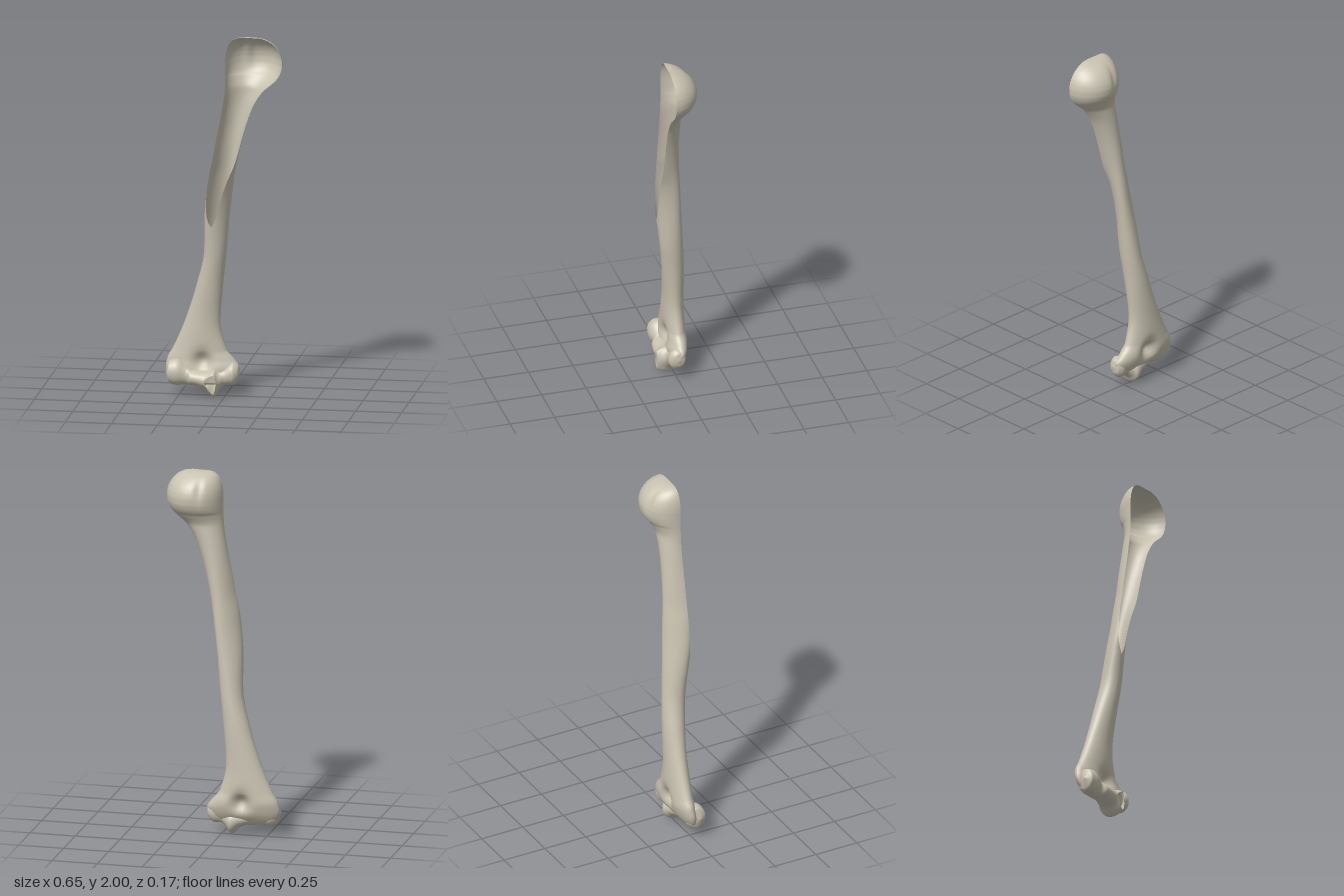
import * as THREE from 'three';
import { mergeVertices } from 'three/addons/utils/BufferGeometryUtils.js';

const CUT = 0.088; // the bone is sliced open along this z plane

// Smooth monotone interpolation between rows [t, ...values]
function refine(rows, steps) {
  const secant = (i, k) => (rows[i + 1][k] - rows[i][k]) / (rows[i + 1][0] - rows[i][0]);
  const slope = (i, k) => {
    if (i === 0) return secant(0, k);
    if (i === rows.length - 1) return secant(i - 1, k);
    const a = secant(i - 1, k), b = secant(i, k);
    return a * b <= 0 ? 0 : (2 * a * b) / (a + b);
  };
  const out = [];
  for (let i = 0; i < rows.length - 1; i++) {
    const h = rows[i + 1][0] - rows[i][0];
    for (let s = 0; s < steps; s++) {
      const f = s / steps, f2 = f * f, f3 = f2 * f;
      out.push(rows[i].map((v, k) => k === 0 ? v + h * f :
        (2 * f3 - 3 * f2 + 1) * v + (f3 - 2 * f2 + f) * h * slope(i, k) +
        (3 * f2 - 2 * f3) * rows[i + 1][k] + (f3 - f2) * h * slope(i + 1, k)));
    }
  }
  out.push(rows[rows.length - 1]);
  return out;
}

// Loft of skewed ellipses; each ring stops at the cut plane.
// Row: [t, uMin, uMax, zBack, zFront]
function loft(rows, skew, place) {
  const sides = 64, n = sides + 1, pos = [], index = [];
  const rings = refine(rows, 7);
  rings.forEach(([t, u0, u1, z0, z1], i) => {
    const cu = (u0 + u1) / 2, ru = (u1 - u0) / 2, cz = (z0 + z1) / 2, rz = (z1 - z0) / 2;
    const phi = Math.asin(skew(t));
    const lim = Math.asin(THREE.MathUtils.clamp((CUT - cz) / Math.max(rz, 1e-5), -1, 1));
    const start = Math.PI - lim - phi, end = 2 * Math.PI + lim - phi;
    for (let j = 0; j <= sides; j++) {
      const a = start + (end - start) * j / sides;
      pos.push(...place(t, cu + ru * Math.cos(a), cz + rz * Math.sin(a + phi)));
      if (i < rings.length - 1 && j < sides) {
        const p = i * n + j, q = p + n;
        index.push(p, q, p + 1, p + 1, q, q + 1);
      }
    }
  });
  let g = new THREE.BufferGeometry();
  g.setAttribute('position', new THREE.Float32BufferAttribute(pos, 3));
  g.setIndex(index);
  g = mergeVertices(g, 1e-5);
  g.computeVertexNormals();
  return g;
}

// Hollows pressed into the surface towards a target z
const dents = [
  { x: -0.12, y: 0.19, w: 0.045, h: 0.05, z: -0.015, k: 0.8 }, // fossa above the joint
  { x: -0.13, y: 0.06, w: 0.09, h: 0.05, z: 0, k: 0.4 },       // notch behind the joint
  { x: 0.12, y: 1.92, w: 0.022, h: 0.07, z: CUT, k: 0.07 },    // groove beside the head
];
function press(y, x, z) {
  for (const d of dents) {
    z += (d.z - z) * d.k * Math.exp(-(((x - d.x) / d.w) ** 2) - ((y - d.y) / d.h) ** 2);
  }
  return [x, y, z];
}

export function createModel() {
  const group = new THREE.Group();
  group.name = 'upperArmBone';
  const bone = new THREE.MeshStandardMaterial({ color: 0xc8c2b0, side: THREE.DoubleSide });
  bone.name = 'bone';
  const add = (name, geometry) => {
    const mesh = new THREE.Mesh(geometry, bone);
    mesh.name = name;
    group.add(mesh);
  };

  // Flared lower end and closed shaft
  const shaft = [
    [0.055, -0.16, -0.14, 0.01, 0.02],
    [0.075, -0.295, 0.045, -0.035, 0.045],
    [0.15, -0.327, 0.077, -0.075, 0.043],
    [0.2, -0.318, 0.045, -0.085, 0.037],
    [0.25, -0.29, 0.004, -0.083, 0.035],
    [0.4, -0.225, -0.03, -0.077, 0.035],
    [0.6, -0.16, -0.015, -0.07, 0.048],
    [0.8, -0.113, 0.007, -0.054, 0.07],
    [1.0, -0.104, 0.024, -0.036, 0.094],
    [1.2, -0.08, 0.05, -0.02, 0.126],
  ];
  // Open upper sections are half ellipses centred on the cut plane
  const open = (y, x0, x1, zb) => shaft.push([y, x0, x1, zb, 2 * CUT - zb]);
  open(1.35, -0.053, 0.082, -0.009);
  open(1.6, -0.004, 0.155, 0);
  open(1.7, 0.01, 0.213, 0.001);
  // Head: a ball whose left side runs up into a square shoulder
  for (let i = 0; i <= 12; i++) {
    const a = THREE.MathUtils.degToRad(-42 + 11 * i), w = Math.max(Math.cos(a), 0);
    const left = a < 0 ? 1 : w ** 0.35;
    open(1.86 + 0.14 * Math.sin(a), 0.18 - 0.167 * left, 0.18 + 0.143 * w, CUT - 0.154 * w);
  }
  // The middle of the shaft twists so that the opening starts on one side
  const twist = (y) => -0.48 * Math.exp(-(((y - 1.12) / 0.28) ** 2));
  add('shaftAndHead', loft(shaft, twist, press));

  // Spool-shaped elbow joint, lofted sideways
  add('elbowJoint', loft([
    [0.079, 0.125, 0.135, -0.005, 0.005],
    [0.07, 0.09, 0.17, -0.035, 0.03],
    [0.04, 0.062, 0.185, -0.045, 0.05],
    [0, 0.06, 0.155, -0.035, 0.05],
    [-0.03, 0.035, 0.14, -0.045, 0.07],
    [-0.055, 0, 0.15, -0.06, 0.112],
    [-0.105, 0.042, 0.14, -0.045, 0.088],
    [-0.18, 0.06, 0.145, -0.03, 0.08],
    [-0.205, 0.06, 0.165, -0.03, 0.062],
    [-0.26, 0.055, 0.2, -0.04, 0.075],
    [-0.3, 0.068, 0.19, -0.03, 0.071],
    [-0.32, 0.125, 0.13, 0.03, 0.035],
  ], () => 0, (x, y, z) => [x, y, z]));

  return group;
}
